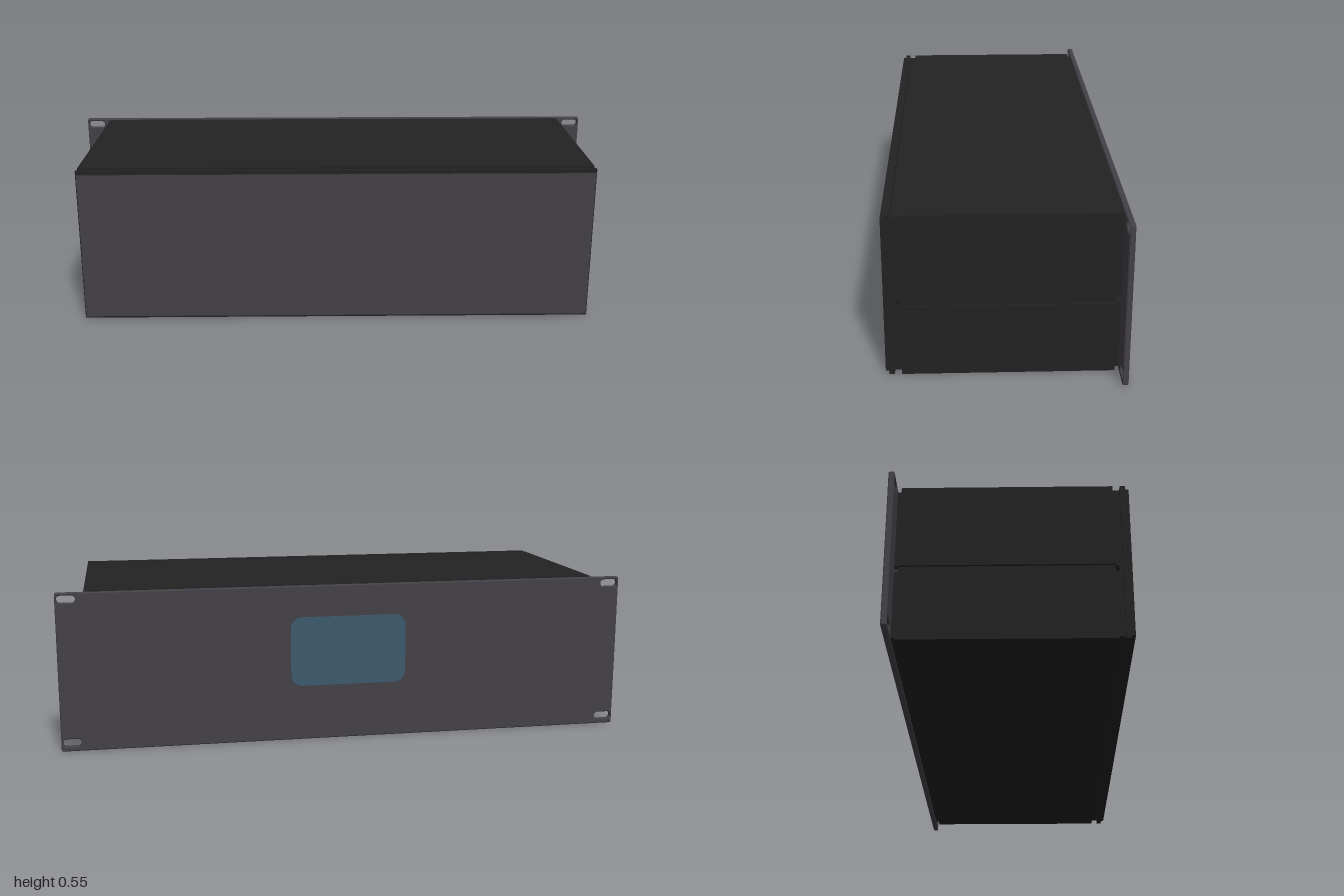
import * as THREE from 'three';

const shellBlack = new THREE.MeshStandardMaterial({ color: 0x222222 });
shellBlack.name = 'shellBlack';
const panelGrey = new THREE.MeshStandardMaterial({ color: 0x434147 });
panelGrey.name = 'panelGrey';
const screenBlue = new THREE.MeshStandardMaterial({ color: 0x3c5a6c });
screenBlue.name = 'screenBlue';

// Rounded rectangle outline; works for shapes and holes
function roundedRect(path, x0, y0, x1, y1, r) {
  path.absarc(x1 - r, y0 + r, r, -Math.PI / 2, 0, false);
  path.absarc(x1 - r, y1 - r, r, 0, Math.PI / 2, false);
  path.absarc(x0 + r, y1 - r, r, Math.PI / 2, Math.PI, false);
  path.absarc(x0 + r, y0 + r, r, Math.PI, Math.PI * 1.5, false);
  path.closePath();
  return path;
}

export function createModel() {
  const group = new THREE.Group();
  group.name = 'rackEnclosure';

  // Box given by its lower and upper corner
  const box = (name, [x0, y0, z0], [x1, y1, z1], material = shellBlack) => {
    const mesh = new THREE.Mesh(new THREE.BoxGeometry(x1 - x0, y1 - y0, z1 - z0), material);
    mesh.position.set((x0 + x1) / 2, (y0 + y1) / 2, (z0 + z1) / 2);
    mesh.name = name;
    group.add(mesh);
  };

  // Top and bottom covers over narrower inner sheets
  box('topCover', [-0.905, 0.54, -0.35], [0.905, 0.55, 0.33]);
  box('topInnerSheet', [-0.895, 0.53, -0.363], [0.895, 0.54, 0.352]);
  box('bottomCover', [-0.905, 0, -0.35], [0.905, 0.01, 0.33]);
  box('bottomInnerSheet', [-0.895, 0.01, -0.363], [0.895, 0.02, 0.352]);

  // Side walls in two halves, with a recessed strip behind the seam
  for (const s of [-1, 1]) {
    const side = s > 0 ? 'left' : 'right';
    const wall = (name, a, b, y0, y1, z0, z1) =>
      box(side + name, [Math.min(s * a, s * b), y0, z0], [Math.max(s * a, s * b), y1, z1]);
    for (const [half, y0, y1] of [['Lower', 0.01, 0.24], ['Upper', 0.26, 0.54]]) {
      wall(half + 'Wall', 0.895, 0.905, y0, y1, -0.35, 0.33);
      wall(half + 'InnerWall', 0.885, 0.895, y0, y1, -0.363, 0.352);
    }
    wall('SeamStrip', 0.885, 0.897, 0.24, 0.26, -0.35, 0.33);
  }

  // Front frame, its backing and the panel, grey only on its face
  box('frontBacking', [-0.895, 0.01, 0.342], [0.895, 0.54, 0.353]);
  box('frontFrame', [-0.905, 0, 0.353], [0.905, 0.55, 0.371]);
  box('frontPanel', [-0.9, 0.01, 0.371], [0.9, 0.54, 0.382],
    [shellBlack, shellBlack, shellBlack, shellBlack, panelGrey, shellBlack]);

  // Rack mounting plate at the back with four slots
  const outline = roundedRect(new THREE.Shape(), -1, 0, 1, 0.55, 0.006);
  for (const x of [-0.963, 0.963]) {
    for (const y of [0.03, 0.528]) {
      outline.holes.push(roundedRect(new THREE.Path(), x - 0.031, y - 0.013, x + 0.031, y + 0.013, 0.0125));
    }
  }
  const bevel = 0.003;
  const plate = new THREE.Mesh(new THREE.ExtrudeGeometry(outline, {
    depth: 0.019 - 2 * bevel, bevelEnabled: true, bevelThickness: bevel,
    bevelSize: bevel, bevelOffset: -bevel, bevelSegments: 1, curveSegments: 6,
  }), panelGrey);
  plate.position.z = -0.382 + bevel;
  plate.name = 'mountingPlate';
  group.add(plate);

  // Thin display on the outside of the mounting plate
  const screen = new THREE.Mesh(new THREE.ExtrudeGeometry(
    roundedRect(new THREE.Shape(), -0.205, 0.195, 0.205, 0.44, 0.04),
    { depth: 0.002, bevelEnabled: false, curveSegments: 8 }), screenBlue);
  screen.position.z = -0.3835;
  screen.name = 'screen';
  group.add(screen);

  return group;
}
